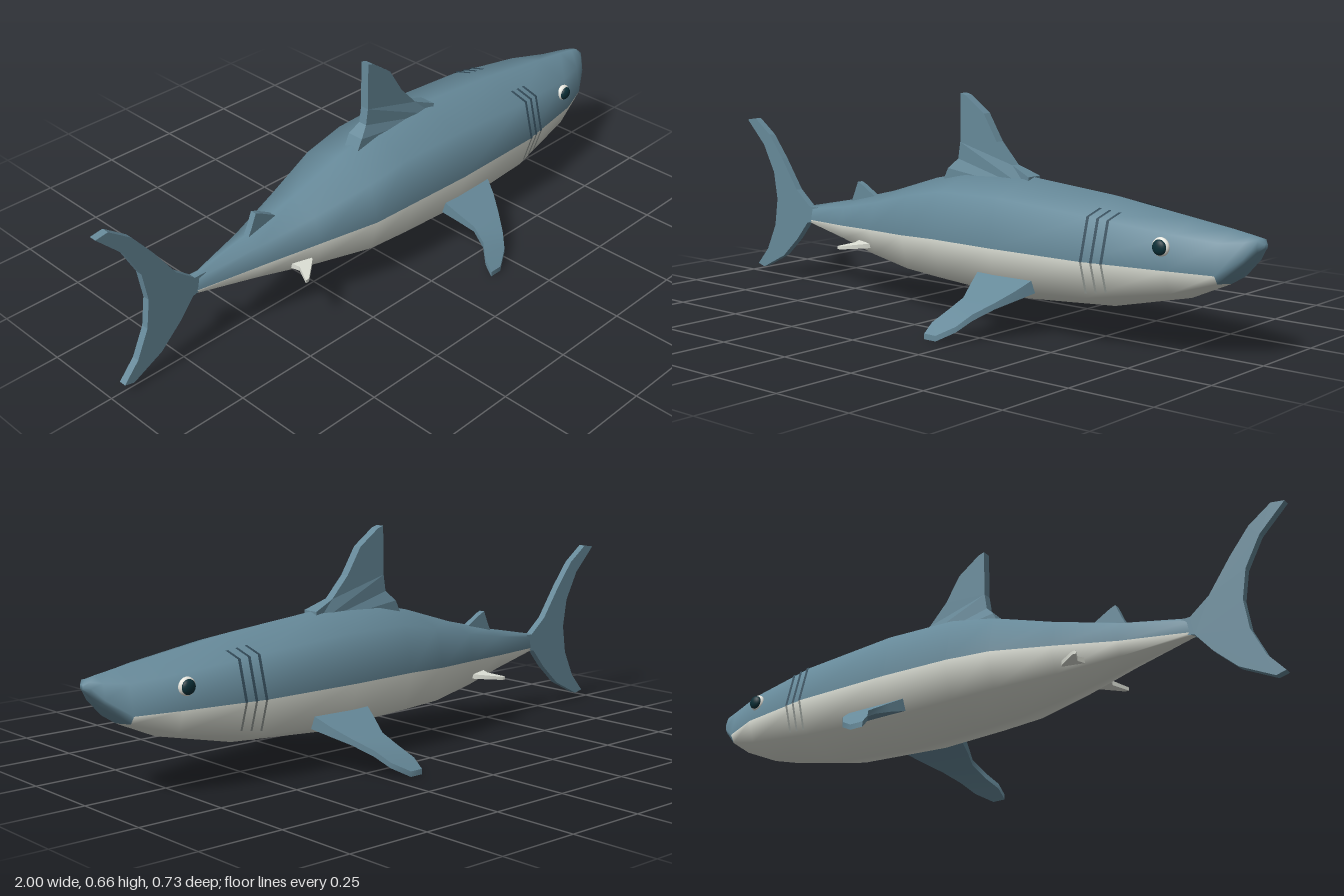
import * as THREE from 'three';
import { toCreasedNormals } from 'three/addons/utils/BufferGeometryUtils.js';

const material = (name, color, extra = {}) => new THREE.MeshStandardMaterial({ name, color, ...extra });

// Skin between rings of [x, y, z] points; pick(i, j) gives the material index of a quad
function loft(rings, pick = () => 0) {
  const n = rings[0].length;
  const faces = [[], []];
  for (let i = 0; i < rings.length - 1; i++) {
    for (let j = 0; j < n; j++) {
      const k = (j + 1) % n;
      const a = i * n + j, b = i * n + k, c = a + n, d = b + n;
      faces[pick(i, j)].push(a, b, c, b, d, c);
    }
  }
  const last = (rings.length - 1) * n;
  for (let j = 1; j < n - 1; j++) {
    faces[0].push(0, j + 1, j, last, last + j, last + j + 1);
  }
  const g = new THREE.BufferGeometry();
  g.setAttribute('position', new THREE.Float32BufferAttribute(rings.flat(2), 3));
  g.setIndex([...faces[0], ...faces[1]]);
  g.addGroup(0, faces[0].length, 0);
  if (faces[1].length) g.addGroup(faces[0].length, faces[1].length, 1);
  g.computeVertexNormals();
  return g;
}

// Body stations: x, back y, colour line y, belly y, half width
const stations = [
  [-0.71, 0.25, 0.205, 0.195, 0.008],
  [-0.5, 0.292, 0.213, 0.152, 0.058],
  [-0.32, 0.336, 0.225, 0.112, 0.11],
  [-0.14, 0.392, 0.235, 0.085, 0.16],
  [0.0, 0.424, 0.24, 0.076, 0.171],
  [0.22, 0.428, 0.24, 0.068, 0.18],
  [0.53, 0.4, 0.24, 0.09, 0.176],
  [0.78, 0.365, 0.24, 0.148, 0.135],
  [0.9, 0.348, 0.235, 0.202, 0.088],
  [0.96, 0.338, 0.28, 0.262, 0.052],
  [0.985, 0.333, 0.31, 0.292, 0.026],
  [0.998, 0.32, 0.312, 0.305, 0.008],
];

// Eight-sided cross-section, from the back down the left side and up the right
function ring([x, top, mid, low, w]) {
  const up = top - 0.26 * (top - mid), down = low + 0.3 * (mid - low), s = 0.82 * w;
  return [[x, top, 0], [x, up, s], [x, mid, w], [x, down, s],
    [x, low, 0], [x, down, -s], [x, mid, -w], [x, up, -s]];
}

function stationAt(x) {
  const i = stations.findIndex((s) => s[0] > x);
  const a = stations[i - 1], b = stations[i], t = (x - a[0]) / (b[0] - a[0]);
  return a.map((v, k) => v + (b[k] - v) * t);
}

// Flat upright fin cut from an outline
function uprightFin(outline, thickness) {
  const shape = new THREE.Shape(outline.map(([x, y]) => new THREE.Vector2(x, y)));
  const g = new THREE.ExtrudeGeometry(shape, { depth: thickness, bevelEnabled: false });
  return g.translate(0, 0, -thickness / 2);
}

// Side fin from sections: z, y, back x, front x, half thickness
function sideFin(sections, side) {
  const g = loft(sections.map(([z, y, xb, xf, t]) => {
    const r = [[xb, y - t, z * side], [xf, y - t, z * side], [xf, y + t, z * side], [xb, y + t, z * side]];
    return side > 0 ? r : r.reverse();
  }));
  return toCreasedNormals(g, 0.7);
}

// Narrow ribbon lying just above the skin
function ribbon(points, x, width) {
  const pos = [], idx = [];
  points.forEach(([y, z], i) => {
    pos.push(x - width / 2, y, z, x + width / 2, y, z);
    if (i) idx.push(2 * i - 2, 2 * i - 1, 2 * i, 2 * i - 1, 2 * i + 1, 2 * i);
  });
  const g = new THREE.BufferGeometry();
  g.setAttribute('position', new THREE.Float32BufferAttribute(pos, 3));
  g.setIndex(idx);
  g.computeVertexNormals();
  return g;
}

export function createModel() {
  const group = new THREE.Group();
  group.name = 'shark';
  const blue = material('slate blue skin', 0x668999);
  const white = material('pale belly', 0xdcdfd5);
  const gillDark = material('gill blue', 0x344c5a, { side: THREE.DoubleSide });
  const gillPale = material('gill grey', 0x9ca29d, { side: THREE.DoubleSide });
  const eyeWhite = material('eye white', 0xe8e8e0);
  const iris = material('dark teal iris', 0x0c3038);
  const add = (name, geometry, mat) => {
    const mesh = new THREE.Mesh(geometry, mat);
    mesh.name = name;
    group.add(mesh);
    return mesh;
  };

  // Body: blue back and snout, pale belly
  add('body', loft(stations.map(ring), (i, j) => (i < 8 && j > 1 && j < 6 ? 1 : 0)), [blue, white]);

  // Main dorsal fin, flared at its root
  const dorsal = uprightFin([[-0.09, 0.39], [-0.07, 0.43], [-0.04, 0.46], [-0.032, 0.51], [-0.03, 0.656],
    [-0.01, 0.65], [0.06, 0.6], [0.11, 0.52], [0.17, 0.456], [0.24, 0.428], [0.24, 0.39]], 0.028);
  const p = dorsal.attributes.position;
  for (let i = 0; i < p.count; i++) {
    if (p.getY(i) < 0.45) p.setZ(i, p.getZ(i) * 1.9);
  }
  dorsal.computeVertexNormals();
  add('dorsalFin', dorsal, blue);

  add('rearDorsalFin', uprightFin([[-0.51, 0.27], [-0.49, 0.31], [-0.472, 0.352], [-0.455, 0.345],
    [-0.415, 0.322], [-0.38, 0.3]], 0.02), blue);

  add('tailFin', uprightFin([[-1, 0.52], [-0.96, 0.526], [-0.89, 0.475], [-0.83, 0.4], [-0.76, 0.3],
    [-0.7, 0.251], [-0.66, 0.25], [-0.66, 0.205], [-0.71, 0.195], [-0.76, 0.135], [-0.83, 0.07],
    [-0.93, 0.02], [-0.96, 0.028], [-0.91, 0.085], [-0.87, 0.17], [-0.857, 0.26], [-0.872, 0.35],
    [-0.92, 0.44]], 0.023), blue);

  for (const side of [1, -1]) {
    const tag = side > 0 ? 'Front' : 'Back';

    // Drooping swept pectoral fin
    add('pectoralFin' + tag, sideFin([
      [0.14, 0.15, 0.155, 0.365, 0.022], [0.2, 0.122, 0.172, 0.335, 0.014],
      [0.25, 0.097, 0.188, 0.302, 0.009], [0.3, 0.068, 0.175, 0.265, 0.009],
      [0.335, 0.036, 0.147, 0.235, 0.008], [0.363, 0.008, 0.143, 0.185, 0.008]], side), blue);

    // Small pelvic fin
    add('pelvicFin' + tag, sideFin([
      [0.05, 0.175, -0.41, -0.31, 0.009], [0.1, 0.17, -0.395, -0.345, 0.007],
      [0.152, 0.164, -0.42, -0.408, 0.005]], side), white);

    // Three gill slits, dark on the flank and grey on the belly
    for (const x of [0.54, 0.57, 0.6]) {
      const r = ring(stationAt(x)).map(([, y, z]) => [0.24 + (y - 0.24) * 1.02, z * 1.02 * side]);
      const mix = (a, b, t) => a.map((v, k) => v + (b[k] - v) * t);
      add('upperGill' + tag, ribbon([mix(r[0], r[1], 0.6), r[1], r[2]], x, 0.009), gillDark);
      add('lowerGill' + tag, ribbon([r[2], mix(r[2], r[3], 0.85)], x, 0.007), gillPale);
    }

    // Eye
    const ball = add('eyeball' + tag, new THREE.SphereGeometry(0.026, 20, 14), eyeWhite);
    ball.scale.z = 0.55;
    ball.position.set(0.76, 0.3, 0.124 * side);
    const pupil = add('iris' + tag, new THREE.SphereGeometry(0.021, 20, 14), iris);
    pupil.scale.z = 0.55;
    pupil.position.set(0.761, 0.3, 0.133 * side);
  }
  return group;
}
